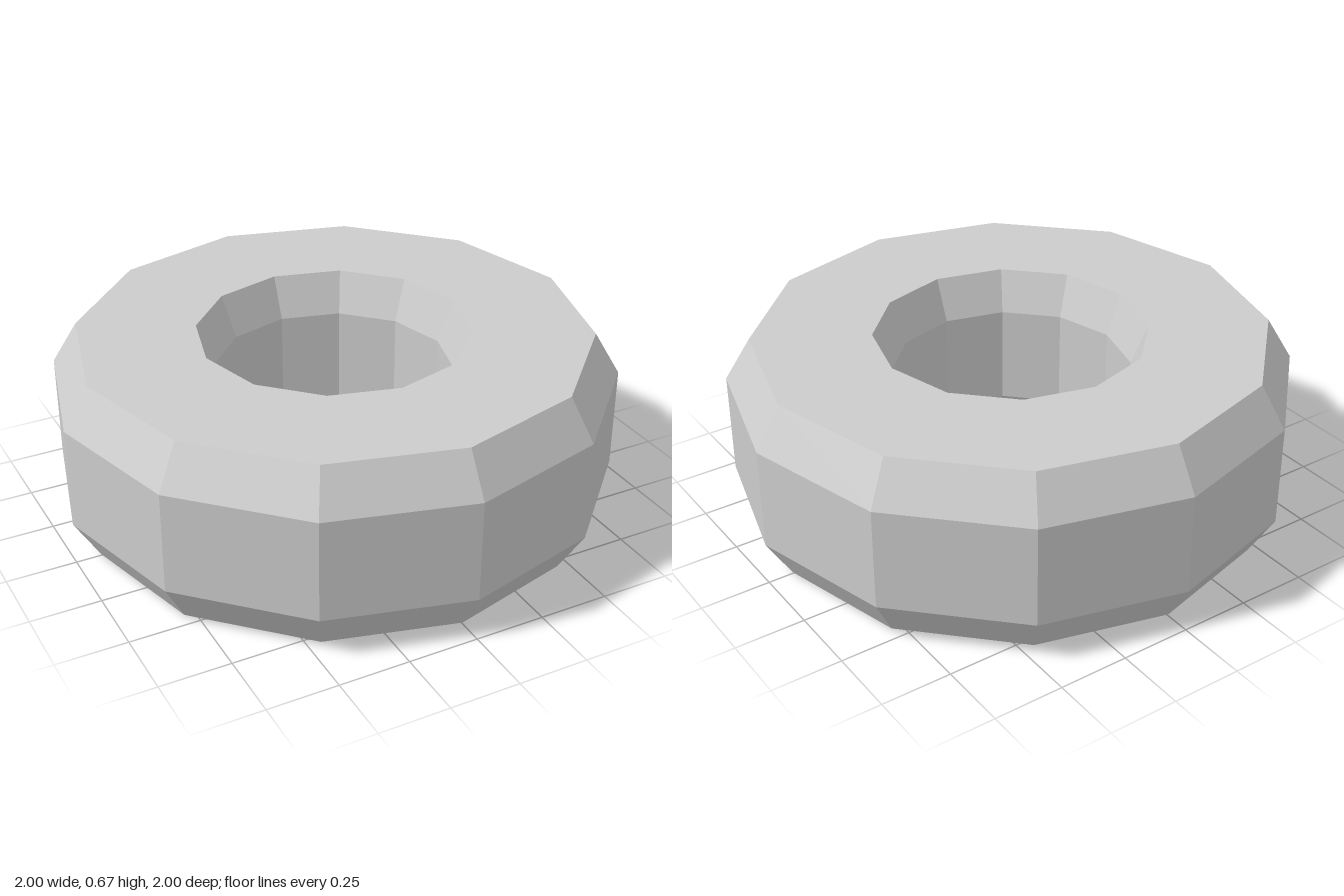
import * as THREE from 'three';

const SIDES = 12;

// Revolve a profile of [radius, height] pairs into a faceted solid
function revolve(name, profile, sides, material) {
  const points = profile.map(([r, y]) => new THREE.Vector2(r, y));
  const geometry = new THREE.LatheGeometry(points, sides).toNonIndexed();
  geometry.computeVertexNormals();
  const mesh = new THREE.Mesh(geometry, material);
  mesh.name = name;
  return mesh;
}

export function createModel() {
  const model = new THREE.Group();
  model.name = 'ring';
  const grey = new THREE.MeshStandardMaterial({ color: 0xcccccc, flatShading: true });
  grey.name = 'light grey';

  // Chamfered ring with a closed, very slightly bulging base
  model.add(revolve('ringBody', [
    [0, 0], [0.91, 0.005], [1, 0.155], [1, 0.52], [0.91, 0.67],
    [0.485, 0.67], [0.425, 0.52], [0.425, 0.155], [0.485, 0.012], [0, 0.012],
  ], SIDES, grey));

  // Thin ten-sided plate on the floor of the hole
  const plate = new THREE.Mesh(new THREE.CylinderGeometry(0.425, 0.425, 0.008, 10), grey);
  plate.name = 'floorPlate';
  plate.rotation.y = Math.PI / 2;
  plate.position.y = 0.016;
  model.add(plate);

  return model;
}
